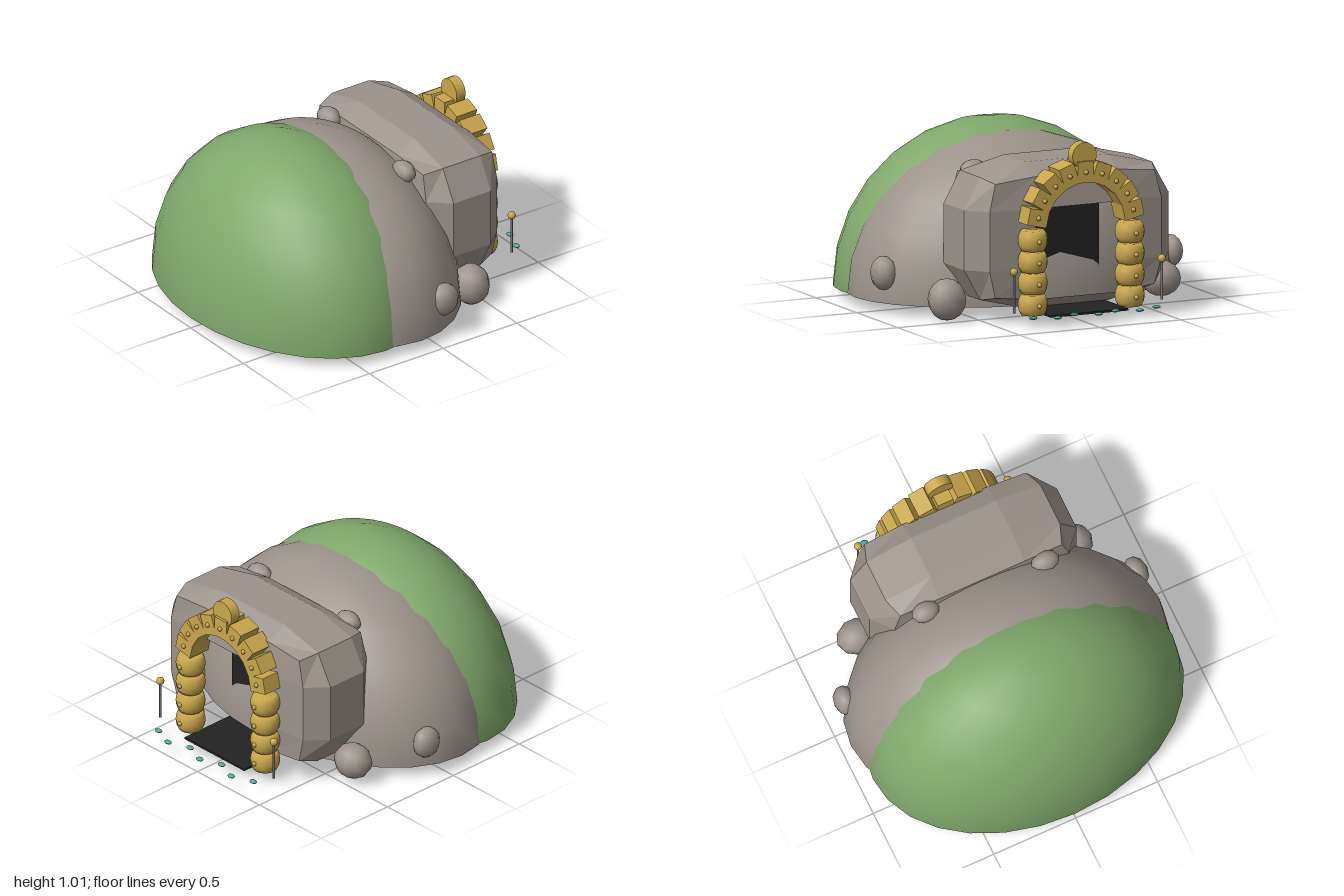
import * as THREE from 'three';

const mat = (name, color, extra = {}) => {
  const m = new THREE.MeshStandardMaterial({ color, ...extra });
  m.name = name;
  return m;
};

export function createModel() {
  const root = new THREE.Group();
  root.name = 'hillCave';
  const green = mat('grassGreen', 0x7fa76b);
  const stone = mat('stoneGrey', 0x9c938b);
  const facetedStone = mat('stoneGrey', 0x9c938b, { flatShading: true });
  const gold = mat('gold', 0xc8a64c);
  const dark = mat('darkFloor', 0x222222);
  const teal = mat('teal', 0x4fa8a0);
  const steel = mat('postGrey', 0x77777a);

  const add = (name, geo, material, x, y, z, parent = root) => {
    const m = new THREE.Mesh(geo, material);
    m.name = name;
    m.position.set(x, y, z);
    parent.add(m);
    return m;
  };

  // Half ellipsoid with a flat floor
  const dome = (name, material, base, z, rx, ry, rz) => {
    const g = new THREE.Group();
    g.name = name;
    add(name + 'Shell', new THREE.SphereGeometry(1, 28, 7, 0, Math.PI * 2, 0, Math.PI / 2),
      material, 0, 0, 0, g);
    add(name + 'Floor', new THREE.CircleGeometry(1, 28).rotateX(Math.PI / 2), material, 0, 0, 0, g);
    g.scale.set(rx, ry, rz);
    g.position.set(0, base, z);
    root.add(g);
  };
  dome('grassHill', green, 0.06, 0.335, 0.925, 0.912, 0.66);
  dome('rockHill', stone, 0.064, 0.11, 0.952, 0.862, 0.66);

  // Cave block: a 3x3x3 box with its edges and corners drawn in, open at the back
  const box = new THREE.BoxGeometry(2, 2, 2, 3, 3, 3).toNonIndexed();
  const src = box.attributes.position;
  const kept = [];
  const shape = (v) => {
    const c = v.toArray();
    const n = c.filter((k) => Math.abs(k) > 0.9).length;
    const f = [1, 1, 0.84, 0.78][n];
    const p = c.map((k, i) => Math.sign(k) *
      (Math.abs(k) > 0.9 ? (i === 2 ? (1 + f) / 2 : f) : (i === 2 ? 0.48 : 0.41)));
    return [p[0] * 0.632, p[1] * 0.41, p[2] * 0.262];
  };
  for (let i = 0; i < src.count; i += 3) {
    const t = [0, 1, 2].map((k) => new THREE.Vector3().fromBufferAttribute(src, i + k));
    const mid = t[0].clone().add(t[1]).add(t[2]).divideScalar(3);
    const doorway = mid.z < -0.99 && Math.abs(mid.x) < 0.33 && mid.y < 0.33;
    if (!doorway) t.forEach((v) => kept.push(...shape(v)));
  }
  const block = new THREE.BufferGeometry();
  block.setAttribute('position', new THREE.Float32BufferAttribute(kept, 3));
  block.computeVertexNormals();
  add('caveBlock', block, facetedStone, 0, 0.475, -0.458);

  // Boulders: x, y, z, then radii
  const ball = new THREE.SphereGeometry(1, 10, 8);
  [
    [0.66, 0.12, -0.43, 0.11, 0.118, 0.105], [-0.66, 0.13, -0.44, 0.115, 0.1, 0.1],
    [0.88, 0.23, -0.09, 0.07, 0.095, 0.09], [-0.89, 0.21, -0.1, 0.065, 0.09, 0.085],
    [0.37, 0.78, -0.18, 0.083, 0.06, 0.058], [-0.355, 0.79, -0.19, 0.082, 0.06, 0.06],
  ].forEach(([x, y, z, a, b, c]) => add('boulder', ball, stone, x, y, z).scale.set(a, b, c));

  // Dark doorway floor, sill and back panel
  add('doorFloor', new THREE.BoxGeometry(0.48, 0.012, 0.54), dark, 0, 0.061, -0.6);
  add('doorSill', new THREE.BoxGeometry(0.49, 0.02, 0.06), dark, 0, 0.055, -0.3);
  add('doorPanel', new THREE.BoxGeometry(0.48, 0.57, 0.02), dark, 0, 0.345, -0.5);

  // Pillars of stacked barrels with studs
  const barrel = new THREE.LatheGeometry([
    [0, -0.057], [0.066, -0.057], [0.079, -0.03], [0.083, 0],
    [0.079, 0.03], [0.066, 0.057], [0, 0.057],
  ].map(([x, y]) => new THREE.Vector2(x, y)), 16);
  const stud = new THREE.SphereGeometry(0.014, 8, 6);
  for (const s of [1, -1]) {
    for (let i = 0; i < 4; i++) {
      const y = 0.12 + i * 0.12;
      add('pillarBarrel', barrel, gold, s * 0.3, y, -0.768);
      add('pillarStud', stud, gold, s * 0.3, y, -0.85);
    }
  }

  // Arch of tilted blocks with studs, topped by a keystone
  const archBlock = new THREE.BoxGeometry(0.12, 0.095, 0.14);
  for (let i = 0; i < 9; i++) {
    const a = Math.PI * (0.07 + 0.86 * i / 8);
    const x = 0.3 * Math.cos(a), y = 0.545 + 0.3 * Math.sin(a);
    add('archBlock', archBlock, gold, x, y, -0.755).rotation.z = a;
    add('archStud', stud, gold, x, y, -0.828);
  }
  add('keystone', new THREE.CylinderGeometry(0.075, 0.075, 0.06, 18).rotateX(Math.PI / 2),
    gold, 0, 0.935, -0.78);

  // Lamp posts
  for (const s of [1, -1]) {
    add('lampPost', new THREE.CylinderGeometry(0.007, 0.007, 0.22, 8), steel, s * 0.457, 0.205, -0.85);
    add('lampBall', new THREE.SphereGeometry(0.023, 12, 8), gold, s * 0.457, 0.327, -0.85);
  }

  // Zigzag row of flat pebbles
  for (let i = -3; i <= 3; i++) {
    add('pebble', new THREE.SphereGeometry(1, 10, 6), teal,
      i * 0.127, 0.075, i % 2 ? -0.935 : -0.982).scale.set(0.025, 0.009, 0.018);
  }
  // Even spacing flips the rows so the middle pebble sits furthest out
  return root;
}
